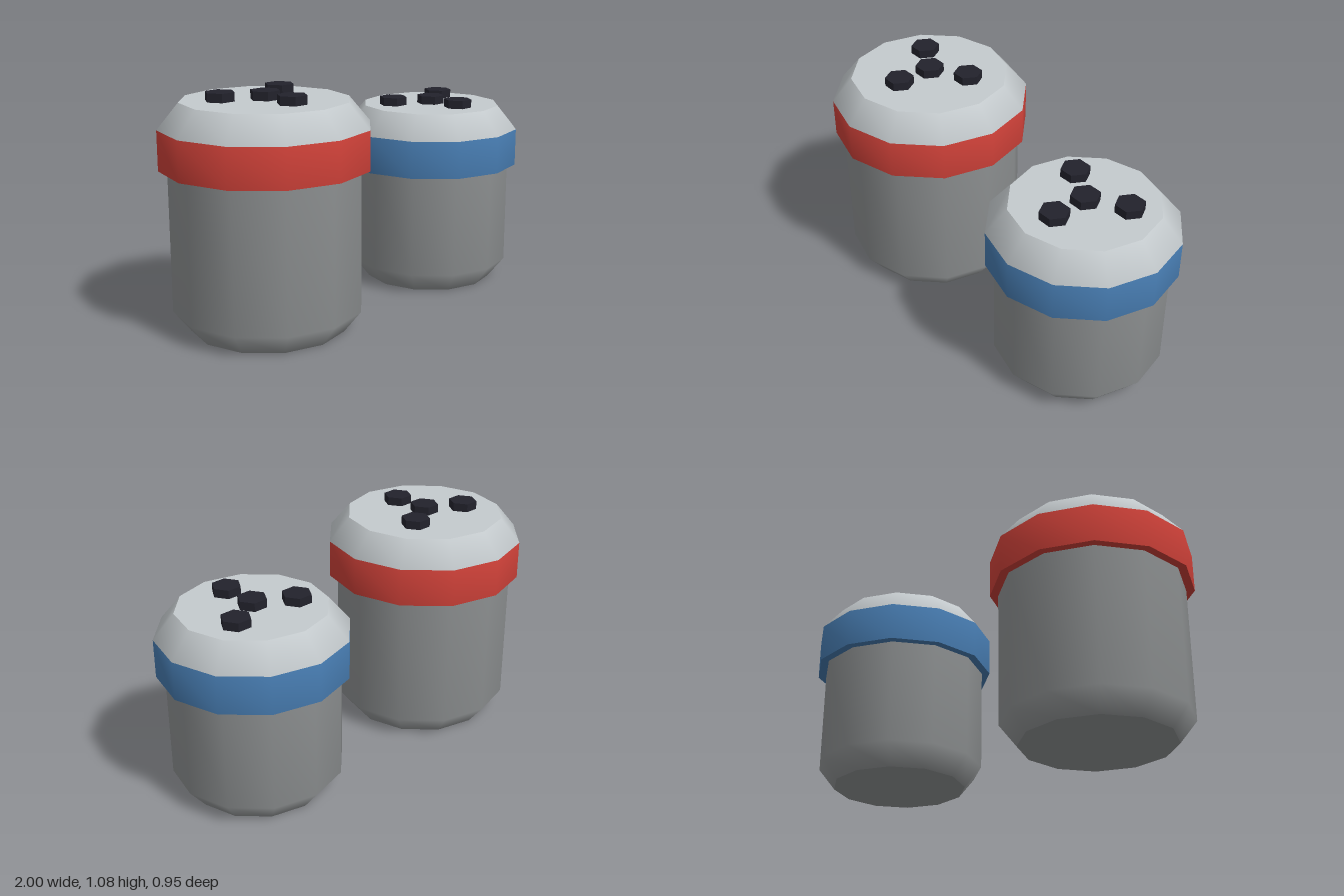
import * as THREE from 'three';

const SIDES = 12;
const paint = (name, color) => {
  const m = new THREE.MeshStandardMaterial({ color });
  m.name = name;
  return m;
};

// Lathe from [radius, y] pairs, bottom to top; a repeated pair makes a sharp edge.
function lathe(profile) {
  return new THREE.LatheGeometry(profile.map(([r, y]) => new THREE.Vector2(r, y)), SIDES);
}

// Give each horizontal strip of a lathe its own material index.
function assignStrips(geometry, strips) {
  for (let i = 0; i < SIDES; i++) {
    strips.forEach((material, j) => geometry.addGroup((i * strips.length + j) * 6, 6, material));
  }
  return geometry;
}

export function createModel() {
  const bodyGrey = paint('body grey', 0x8c8f90);
  const lidGrey = paint('pale lid grey', 0xc4cacd);
  const holeBlack = paint('hole black', 0x22222c);
  const red = paint('red band', 0xc63e36);
  const blue = paint('blue band', 0x4477aa);
  holeBlack.flatShading = true;

  const model = new THREE.Group();
  model.name = 'shakers';

  function addPart(parent, name, geometry, material) {
    const mesh = new THREE.Mesh(geometry, material);
    mesh.name = name;
    parent.add(mesh);
    return mesh;
  }

  function addShaker(name, x, r, bandY, band) {
    const shaker = new THREE.Group();
    shaker.name = name;
    shaker.position.x = x;
    model.add(shaker);

    // Body with a chamfered foot
    const bodyR = r - 0.039, footR = r - 0.118;
    addPart(shaker, 'body', lathe([
      [0, 0], [footR, 0], [footR, 0], [bodyR, 0.1], [bodyR, bandY + 0.02],
    ]), bodyGrey);

    // Lid: coloured band below, pale sloped crown and flat top above
    const crownY = bandY + 0.18, topY = bandY + 0.295, topR = r - 0.096;
    const lid = lathe([
      [0, bandY], [r, bandY], [r, bandY], [r, crownY],
      [topR, topY], [topR, topY], [0, topY],
    ]);
    addPart(shaker, 'lid', assignStrips(lid, [0, 0, 0, 1, 1, 1]), [band, lidGrey]);

    // Raised hexagonal shaker holes
    const hole = new THREE.CylinderGeometry(0.068, 0.068, 0.04, 6, 1, false, Math.PI / 6);
    [[0, 0], [-0.169, -0.1], [0.169, -0.1], [0, 0.178]].forEach(([hx, hz], i) => {
      addPart(shaker, `hole${i + 1}`, hole, holeBlack).position.set(hx, topY + 0.02, hz);
    });
  }

  addShaker('tallShaker', -0.527, 0.473, 0.745, red);
  addShaker('shortShaker', 0.564, 0.436, 0.597, blue);
  return model;
}
